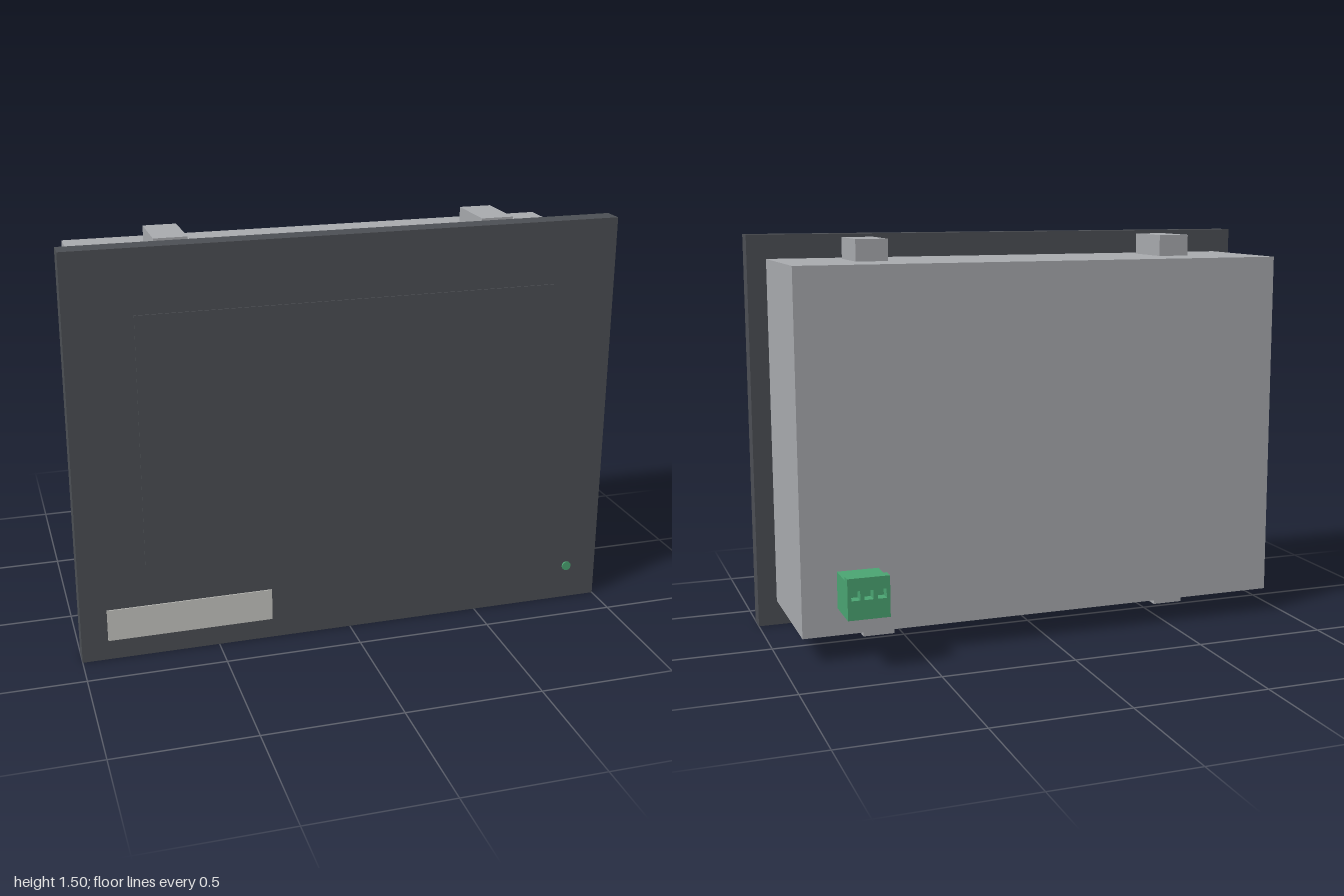
import * as THREE from 'three';

const mat = (name, color) => Object.assign(new THREE.MeshStandardMaterial({ color }), { name });

export function createModel() {
  const group = new THREE.Group();
  const charcoal = mat('charcoal', 0x4d5055);
  const grey = mat('casing grey', 0xaaacb0);
  const green = mat('terminal green', 0x4ba673);
  const pale = mat('label grey', 0xc9c9c4);

  const add = (name, geometry, material) => {
    const mesh = new THREE.Mesh(geometry, material);
    mesh.name = name;
    group.add(mesh);
    return mesh;
  };
  // Box given by its limits on each axis
  const box = (name, material, [x0, x1], [y0, y1], [z0, z1]) =>
    add(name, new THREE.BoxGeometry(x1 - x0, y1 - y0, z1 - z0), material)
      .position.set((x0 + x1) / 2, (y0 + y1) / 2, (z0 + z1) / 2);

  // Flat plate with a row of square openings, extruded along +z
  const slottedPlate = (w, h, depth, holeY, hw, hh) => {
    const rect = (Type, x0, y0, x1, y1) => new Type([
      new THREE.Vector2(x0, y0), new THREE.Vector2(x1, y0),
      new THREE.Vector2(x1, y1), new THREE.Vector2(x0, y1)]);
    const shape = rect(THREE.Shape, -w / 2, 0, w / 2, h);
    for (const i of [-1, 0, 1]) {
      const cx = i * 0.047;
      shape.holes.push(rect(THREE.Path, cx - hw, holeY - hh, cx + hw, holeY + hh));
    }
    return new THREE.ExtrudeGeometry(shape, { depth, bevelEnabled: false });
  };

  // Front panel and rear casing
  box('bezel', charcoal, [-1, 1], [0, 1.5], [0.288, 0.367]);
  box('screen', charcoal, [-0.76, 0.76], [0.355, 1.27], [0.366, 0.371]);
  box('label', pale, [-0.905, -0.3], [0.075, 0.195], [0.366, 0.371]);
  box('housing', grey, [-0.928, 0.928], [0.095, 1.41], [-0.213, 0.288]);

  // Status light
  const light = add('statusLight', new THREE.CylinderGeometry(0.018, 0.018, 0.007, 12), green);
  light.rotation.x = Math.PI / 2;
  light.position.set(0.88, 0.133, 0.3695);

  // Mounting clamps above and below, each with a small screw face
  for (const side of [-1, 1]) {
    for (const [y0, y1] of [[1.41, 1.49], [0.013, 0.095]]) {
      const x = side * 0.6;
      box('clamp', grey, [x - 0.06, x + 0.06], [y0, y1], [-0.013, 0.207]);
      const screw = add('clampScrew', new THREE.CylinderGeometry(0.018, 0.018, 0.006, 12), grey);
      screw.rotation.x = Math.PI / 2;
      screw.position.set(x, (y0 + y1) / 2, 0.209);
    }
  }

  // Plug-in terminal block: solid core, slotted back and slotted base
  const cx = 0.723, w = 0.152;
  box('terminalCore', green, [cx - w / 2, cx + w / 2], [0.225, 0.33], [-0.333, -0.213]);
  const back = add('terminalBack', slottedPlate(w, 0.15, 0.042, 0.087, 0.016, 0.017), green);
  back.position.set(cx, 0.195, -0.375);
  const base = add('terminalBase', slottedPlate(w, 0.12, 0.03, 0.07, 0.014, 0.022), green);
  base.rotation.x = -Math.PI / 2;
  base.position.set(cx, 0.195, -0.213);

  return group;
}
